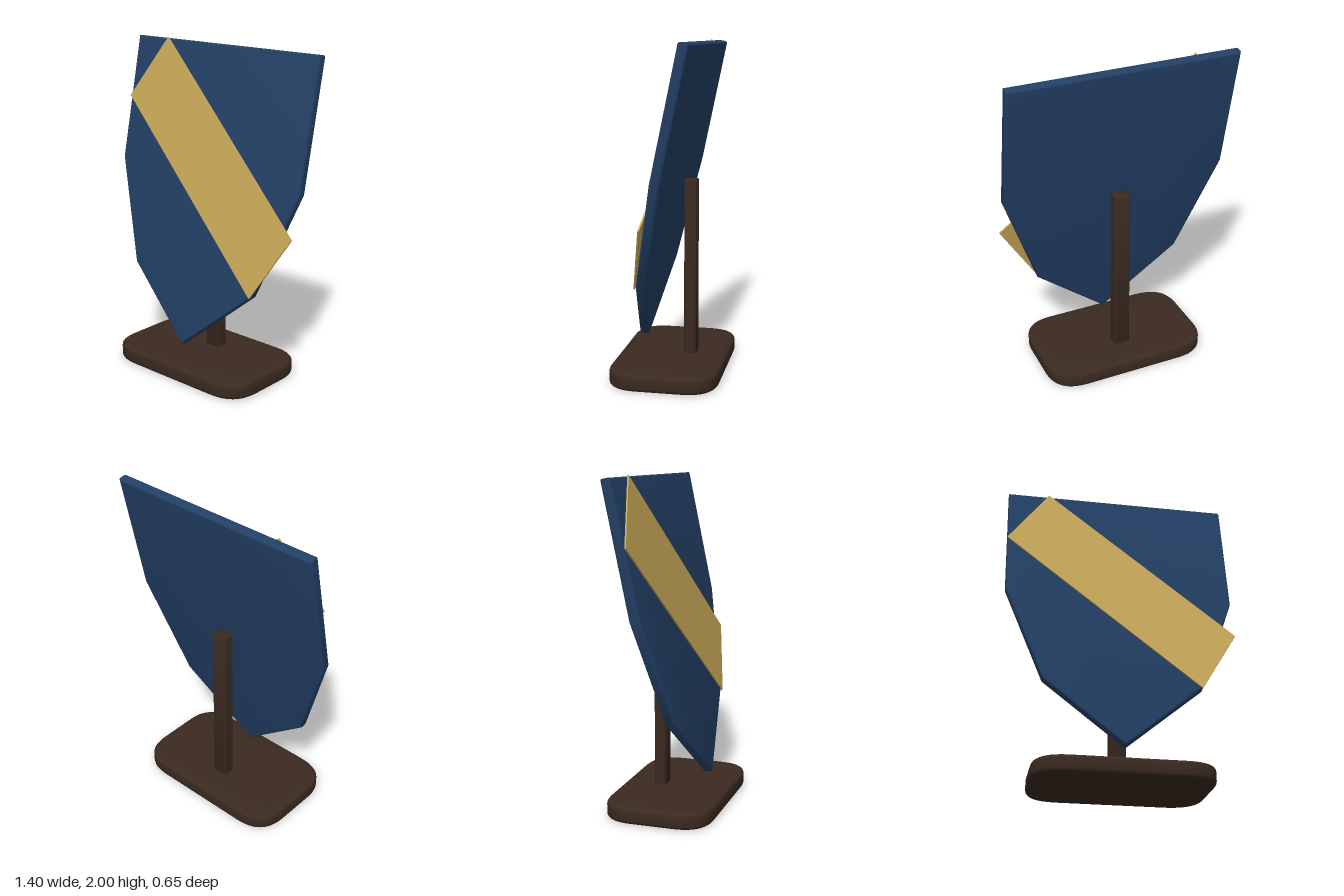
import * as THREE from 'three';
import { toCreasedNormals } from 'three/addons/utils/BufferGeometryUtils.js';

const blue = new THREE.MeshStandardMaterial({ name: 'navy blue', color: 0x234066 });
const gold = new THREE.MeshStandardMaterial({ name: 'gold', color: 0xc9a959 });
const wood = new THREE.MeshStandardMaterial({ name: 'dark wood', color: 0x3b2a20 });

const polygon = (points) => new THREE.Shape(points.map(([x, y]) => new THREE.Vector2(x, y)));

// Slab centred on z = 0 whose rounded edge stays inside the given outline
function slab(name, shape, thickness, bevel, material) {
  const geometry = new THREE.ExtrudeGeometry(shape, {
    depth: thickness - 2 * bevel,
    bevelEnabled: bevel > 0,
    bevelThickness: bevel,
    bevelSize: bevel,
    bevelOffset: -bevel,
    bevelSegments: 4,
    curveSegments: 14,
  });
  geometry.translate(0, 0, bevel - thickness / 2);
  const mesh = new THREE.Mesh(toCreasedNormals(geometry, 0.6), material);
  mesh.name = name;
  return mesh;
}

// Rectangle with softly curved corners
function softRectangle(w, d, cx, cy) {
  const s = new THREE.Shape();
  s.moveTo(-w + cx, -d);
  s.lineTo(w - cx, -d);
  s.quadraticCurveTo(w, -d, w, -d + cy);
  s.lineTo(w, d - cy);
  s.quadraticCurveTo(w, d, w - cx, d);
  s.lineTo(-w + cx, d);
  s.quadraticCurveTo(-w, d, -w, d - cy);
  s.lineTo(-w, -d + cy);
  s.quadraticCurveTo(-w, -d, -w + cx, -d);
  return s;
}

export function createModel() {
  const model = new THREE.Group();
  model.name = 'shieldOnStand';

  // Stand: rounded base plate and square post
  const base = slab('base', softRectangle(0.52, 0.325, 0.21, 0.2), 0.1, 0.024, wood);
  base.rotation.x = -Math.PI / 2;
  base.position.y = 0.053;

  const post = slab('post', softRectangle(0.05, 0.037, 0.01, 0.01), 1.1, 0.006, wood);
  post.rotation.x = -Math.PI / 2;
  post.position.set(0, 0.625, -0.102);
  model.add(base, post);

  // Shield leaning back, with its lower tip at the group's origin
  const shield = new THREE.Group();
  shield.name = 'shield';
  shield.position.set(0, 0.2, 0.193);
  shield.rotation.x = -0.206;

  const thickness = 0.06;
  const board = slab('shieldBoard', polygon([
    [0, 0], [0.47, 0.41], [0.7, 1.05], [0.7, 1.826],
    [-0.7, 1.826], [-0.7, 1.05], [-0.47, 0.41],
  ]), thickness, 0.014, blue);

  // Diagonal band on the front face
  const band = slab('diagonalBand', polygon([
    [-0.7, 1.443], [0.468, 0.401], [0.702, 0.795], [-0.44, 1.83],
  ]), 0.009, 0, gold);
  band.position.z = thickness / 2 + 0.0045;
  shield.add(board, band);

  model.add(shield);
  return model;
}
